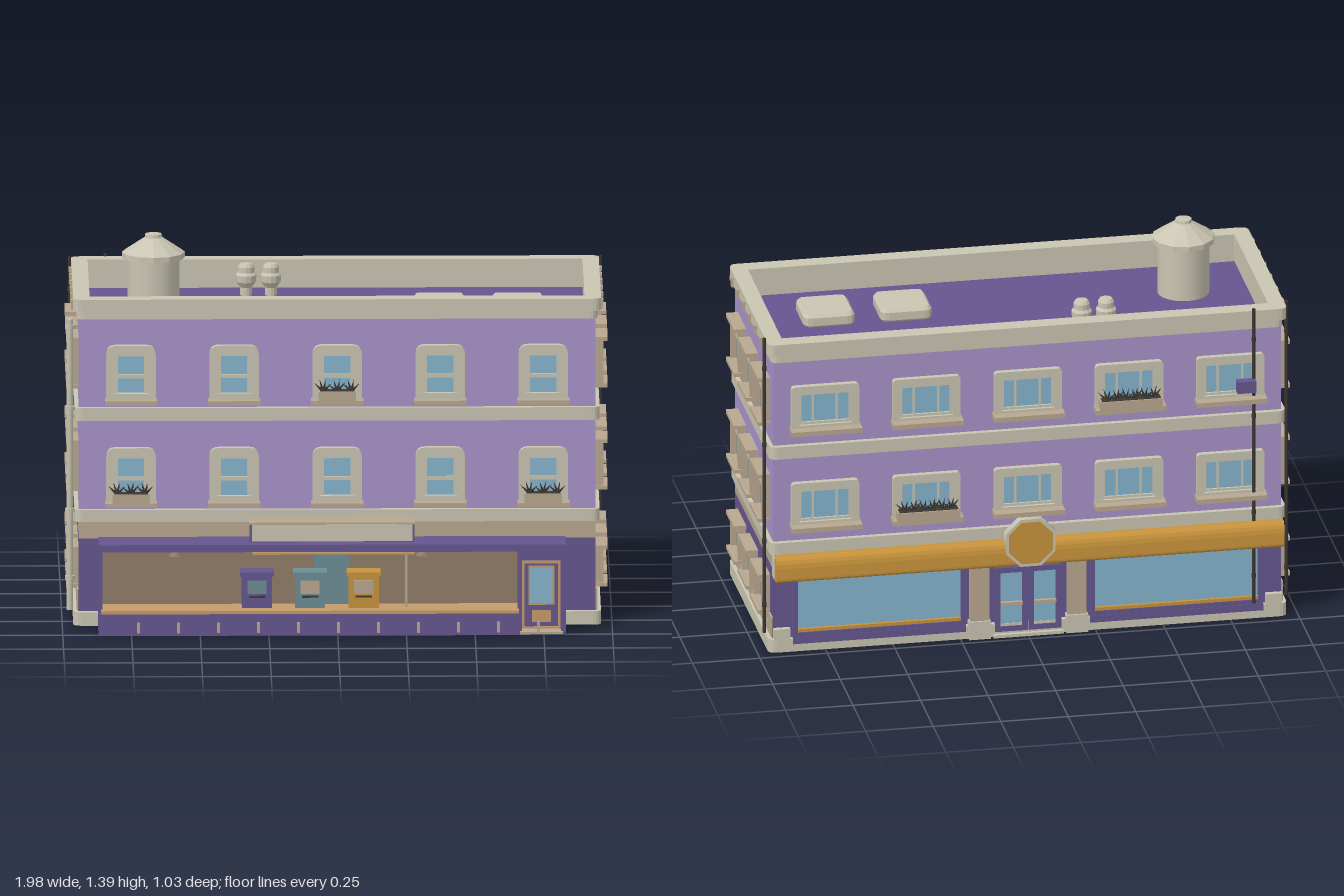
import * as THREE from 'three';

const mat = (name, color) => {
  const m = new THREE.MeshStandardMaterial({ color });
  m.name = name;
  return m;
};
const M = {
  lilac: mat('lilac wall', 0xa793c8), purple: mat('dark purple', 0x65568f),
  cream: mat('cream stone', 0xcac5b2), tan: mat('tan stone', 0xb9a78f),
  orange: mat('orange', 0xc8933c), blue: mat('blue glass', 0x86b4cc),
  teal: mat('teal glass', 0x6d8d95), dark: mat('dark metal', 0x3b3733),
  brown: mat('brown wall', 0x8f7c68), wood: mat('light wood', 0xc49c6a),
};
const CZ = -0.065, FRONT = 0.31, BACK = -0.44, SIDE = 0.94;
const COLS = [-0.75, -0.375, 0, 0.375, 0.75];

function add(parent, name, geo, material, x = 0, y = 0, z = 0) {
  const m = new THREE.Mesh(geo, material);
  m.name = name;
  m.position.set(x, y, z);
  parent.add(m);
  return m;
}
// box given by its limits on each axis
function box(p, name, m, x0, x1, y0, y1, z0, z1) {
  return add(p, name, new THREE.BoxGeometry(x1 - x0, y1 - y0, z1 - z0), m, (x0 + x1) / 2, (y0 + y1) / 2, (z0 + z1) / 2);
}
function group(p, name, x = 0, y = 0, z = 0, ry = 0) {
  const g = new THREE.Group();
  g.name = name;
  g.position.set(x, y, z);
  g.rotation.y = ry;
  p.add(g);
  return g;
}
// rectangle with bottom radius rb and top radius rt
function roundRect(S, x0, x1, y0, y1, rb, rt) {
  const s = new S();
  s.moveTo(x0 + rb, y0).lineTo(x1 - rb, y0).quadraticCurveTo(x1, y0, x1, y0 + rb)
    .lineTo(x1, y1 - rt).quadraticCurveTo(x1, y1, x1 - rt, y1)
    .lineTo(x0 + rt, y1).quadraticCurveTo(x0, y1, x0, y1 - rt)
    .lineTo(x0, y0 + rb).quadraticCurveTo(x0, y0, x0 + rb, y0);
  return s;
}
const extrude = (s, depth) => new THREE.ExtrudeGeometry(s, { depth, bevelEnabled: false, curveSegments: 4 });
// horizontal slab round the building, optionally hollow
function slab(p, name, m, hw, hd, y0, y1, hole) {
  const s = roundRect(THREE.Shape, -hw, hw, -hd, hd, 0.03, 0.03);
  if (hole) s.holes.push(roundRect(THREE.Path, -0.9, 0.9, -0.33, 0.33, 0.001, 0.001));
  add(p, name, extrude(s, y1 - y0).rotateX(-Math.PI / 2), m, 0, y0, CZ);
}
function frame(p, name, m, x0, x1, y0, y1, t, z0, z1, rt = 0.001) {
  const s = roundRect(THREE.Shape, x0, x1, y0, y1, 0.001, rt);
  s.holes.push(roundRect(THREE.Path, x0 + t, x1 - t, y0 + t, y1 - t, 0.001, rt * 0.4));
  add(p, name, extrude(s, z1 - z0), m, 0, 0, z0);
}
function planter(p, w, y, z) {
  const g = group(p, 'planter', 0, y, z);
  box(g, 'planterBox', M.tan, -w, w, 0, 0.035, -0.02, 0.025);
  box(g, 'planterSoil', M.dark, -w + 0.006, w - 0.006, 0.034, 0.037, -0.015, 0.02);
  const n = Math.round(w / 0.02);
  for (let i = 0; i < n; i++) for (const t of [-0.7, -0.2, 0.3, 0.8]) {
    const leaf = add(g, 'leaf', new THREE.ConeGeometry(0.007, 0.05, 4).translate(0, 0.022, 0), M.dark,
      -w * 0.75 + 1.5 * w * i / (n - 1), 0.032, 0.002);
    leaf.rotation.set((i % 2 ? 0.5 : -0.5) * t, 0, t);
  }
}
// front sash window, local origin at sill
function sashWindow(p, x, y, flowers) {
  const g = group(p, 'frontWindow', x, y, FRONT);
  frame(g, 'windowSurround', M.cream, -0.09, 0.09, 0.01, 0.215, 0.027, 0, 0.025, 0.035);
  frame(g, 'sashFrame', M.cream, -0.064, 0.064, 0.015, 0.19, 0.016, 0, 0.014);
  box(g, 'sashRail', M.cream, -0.05, 0.05, 0.092, 0.106, 0, 0.011);
  box(g, 'glass', M.blue, -0.055, 0.055, 0.02, 0.18, 0, 0.004);
  box(g, 'sill', M.tan, -0.095, 0.095, 0, 0.016, 0, 0.06);
  if (flowers) planter(g, 0.068, 0.016, 0.042);
}
function wideWindow(p, x, y, flowers) {
  const g = group(p, 'backWindow', x, y, BACK, Math.PI);
  frame(g, 'windowSurround', M.cream, -0.125, 0.125, 0, 0.18, 0.028, 0, 0.022, 0.015);
  frame(g, 'sashFrame', M.cream, -0.1, 0.1, 0.025, 0.155, 0.012, 0, 0.012);
  box(g, 'glass', M.blue, -0.1, 0.1, 0.025, 0.155, 0, 0.004);
  for (const mx of [-0.045, 0.045]) box(g, 'mullion', M.cream, mx - 0.004, mx + 0.004, 0.03, 0.15, 0, 0.009);
  box(g, 'sill', M.tan, -0.13, 0.13, 0, 0.018, 0, 0.06);
  if (flowers) planter(g, 0.115, 0.018, 0.045);
}
function crossWindow(p, side, z, y, h) {
  const g = group(p, 'sideWindow', side * SIDE, y, z, side * Math.PI / 2);
  frame(g, 'windowFrame', M.tan, -0.076, 0.076, 0.005, h - 0.005, 0.01, 0, 0.03);
  box(g, 'glass', M.teal, -0.07, 0.07, 0.01, h - 0.01, 0, 0.008);
  box(g, 'mullion', M.tan, -0.004, 0.004, 0.01, h - 0.01, 0, 0.018);
  box(g, 'transom', M.tan, -0.07, 0.07, h * 0.58, h * 0.58 + 0.008, 0, 0.018);
  box(g, 'header', M.tan, -0.082, 0.082, h - 0.014, h, 0, 0.045);
  box(g, 'sill', M.tan, -0.082, 0.082, 0, 0.014, 0, 0.045);
}
function pipe(p, name, m, r, x, z, y0, y1) {
  add(p, name, new THREE.CylinderGeometry(r, r, y1 - y0, 8), m, x, (y0 + y1) / 2, z);
  for (const y of [0.17, 0.42, 0.8, 1.1]) add(p, 'pipeCollar', new THREE.CylinderGeometry(r * 1.5, r * 1.5, 0.015, 8), m, x, y, z);
}

function buildShell(g) {
  slab(g, 'base', M.cream, 0.96, 0.395, 0, 0.05);
  box(g, 'groundWall', M.purple, -SIDE, SIDE, 0.05, 0.32, BACK, FRONT);
  box(g, 'groundFrieze', M.tan, -SIDE, SIDE, 0.32, 0.39, BACK, FRONT);
  box(g, 'upperWall', M.lilac, -SIDE, SIDE, 0.42, 1.1, BACK, FRONT);
  slab(g, 'lowerBand', M.cream, 0.955, 0.395, 0.385, 0.43);
  slab(g, 'middleBand', M.cream, 0.955, 0.395, 0.76, 0.808);
  box(g, 'roof', M.purple, -0.91, 0.91, 1.095, 1.105, -0.405, 0.275);
  // lilac strip closing the wall up to the parapet
  const strip = roundRect(THREE.Shape, -SIDE, SIDE, -0.375, 0.375, 0.001, 0.001);
  strip.holes.push(roundRect(THREE.Path, -0.91, 0.91, -0.34, 0.34, 0.001, 0.001));
  add(g, 'wallTop', extrude(strip, 0.05).rotateX(-Math.PI / 2), M.lilac, 0, 1.09, CZ);
  slab(g, 'parapet', M.cream, 0.948, 0.383, 1.135, 1.168, true);
  slab(g, 'parapetCap', M.cream, 0.96, 0.393, 1.165, 1.21, true);
  frame(group(g, 'parapetInside'), 'unusedDepth', M.cream, -0.001, 0.001, 1.15, 1.152, 0.0004, 0.3, 0.301);
  for (const s of [-1, 1]) {
    box(g, 'parapetLining', M.cream, s * 0.905 - 0.005, s * 0.905 + 0.005, 1.1, 1.14, -0.4, 0.27);
    box(g, 'parapetLining', M.cream, -0.9, 0.9, 1.1, 1.14, CZ + s * 0.335 - 0.005, CZ + s * 0.335 + 0.005);
  }
}
function buildSides(g) {
  for (const s of [-1, 1]) {
    const f = group(g, s > 0 ? 'leftSide' : 'rightSide');
    for (const z of [0.17, CZ, -0.3]) {
      crossWindow(f, s, z, 0.865, 0.187);
      crossWindow(f, s, z, 0.485, 0.187);
      crossWindow(f, s, z, 0.125, 0.152);
    }
    for (let i = 0; i < 6; i++) {
      const b = group(f, 'bracket', s * 0.955, 0, 0.245 - i * 0.115);
      box(b, 'bracketTop', M.tan, -0.015, 0.015, 1.18, 1.195, -0.014, 0.014);
      box(b, 'bracketBody', M.tan, -0.012, 0.012, 1.157, 1.18, -0.009, 0.009);
    }
    // two courses of bricks over a backing
    const w = group(f, 'brickwork', s * SIDE, 0, CZ, s * Math.PI / 2);
    box(w, 'mortar', M.brown, -0.374, 0.374, 0.05, 0.128, -0.01, 0.003);
    for (let row = 0; row < 2; row++) for (let i = 0; i < 6; i++) {
      const x0 = Math.max(-0.375, -0.375 + i * 0.15 - row * 0.075), x1 = Math.min(0.375, -0.225 + i * 0.15 - row * 0.075);
      if (x1 - x0 > 0.02) box(w, 'brick', M.tan, x0, x1 - 0.004, 0.053 + row * 0.04, 0.09 + row * 0.04, 0, 0.007);
    }
    pipe(f, 'drainPipe', M.dark, 0.006, s * 0.966, -0.405, 0.06, 1.22);
  }
  pipe(g, 'downspout', M.cream, 0.012, -0.972, 0.28, 0.05, 1.13);
}
function buildShopFront(g) {
  box(g, 'shopBackWall', M.brown, -0.86, 0.82, 0, 0.315, 0.372, 0.385);
  box(g, 'shopBase', M.purple, -0.87, 0.66, 0, 0.08, 0.49, 0.515);
  box(g, 'shopFloor', M.wood, -0.86, 0.66, 0.08, 0.092, 0.38, 0.515);
  for (let i = 0; i < 11; i++) box(g, 'baseDivider', M.tan, -0.725 + i * 0.1455 - 0.005, -0.72 + i * 0.1455, 0.01, 0.05, 0.51, 0.518);
  for (const [x0, x1] of [[-0.87, -0.855], [0.655, 0.67], [0.812, 0.83]]) box(g, 'shopPier', M.purple, x0, x1, 0, 0.32, 0.372, 0.482);
  box(g, 'canopy', M.purple, -0.87, 0.83, 0.31, 0.337, 0.365, 0.515);
  box(g, 'canopyTrim', M.wood, -0.855, 0.812, 0.302, 0.31, 0.46, 0.475);
  box(g, 'signBox', M.purple, -0.32, 0.28, 0.33, 0.405, 0.375, 0.468);
  box(g, 'signFace', M.cream, -0.312, 0.272, 0.341, 0.402, 0.465, 0.472);
  box(g, 'signTop', M.tan, -0.322, 0.282, 0.403, 0.411, 0.37, 0.474);
  box(g, 'hangingRail', M.wood, -0.31, 0.28, 0.287, 0.295, 0.44, 0.45);
  box(g, 'shopPost', M.tan, 0.246, 0.254, 0.09, 0.31, 0.44, 0.45);
  for (const x of [-0.59, 0.31]) add(g, 'lamp', new THREE.CylinderGeometry(0.008, 0.025, 0.02, 10), M.brown, x, 0.292, 0.44);
  box(g, 'backPanel', M.teal, -0.085, 0.045, 0.09, 0.275, 0.385, 0.393);
  // display ovens
  [[-0.293, M.purple, M.teal], [-0.1, M.teal, M.tan], [0.095, M.orange, M.tan]].forEach(([x, m, pane]) => {
    const o = group(g, 'displayOven', x, 0, 0.43);
    box(o, 'ovenBody', m, -0.055, 0.055, 0.092, 0.21, -0.04, 0.035);
    box(o, 'ovenTop', m, -0.062, 0.062, 0.21, 0.225, -0.042, 0.042);
    box(o, 'ovenWindow', pane, -0.035, 0.035, 0.145, 0.195, 0.034, 0.039);
    box(o, 'ovenHandle', M.dark, -0.03, 0.03, 0.132, 0.138, 0.034, 0.044);
  });
  // shop door
  const d = group(g, 'shopDoor', 0.742, 0, 0.42);
  box(d, 'doorLeaf', M.purple, -0.062, 0.062, 0.01, 0.25, -0.01, 0.004);
  frame(d, 'doorFrame', M.wood, -0.07, 0.07, 0.005, 0.258, 0.009, 0, 0.012);
  frame(d, 'glassTrim', M.wood, -0.047, 0.047, 0.095, 0.24, 0.006, 0.003, 0.01);
  box(d, 'doorGlass', M.blue, -0.042, 0.042, 0.1, 0.235, 0.003, 0.007);
  box(d, 'doorPanel', M.wood, -0.035, 0.035, 0.03, 0.075, 0.003, 0.007);
  box(d, 'doorHead', M.purple, -0.075, 0.075, 0.258, 0.315, -0.01, 0.006);
  box(d, 'doorStep', M.tan, -0.078, 0.078, 0, 0.008, -0.04, 0.08);
}
function buildBackShop(g) {
  const b = group(g, 'backShop', 0, 0, BACK, Math.PI);
  for (const s of [-1, 1]) {
    const w = group(b, 'displayWindow', s * 0.55);
    frame(w, 'displayFrame', M.purple, -0.32, 0.32, 0.055, 0.3, 0.018, 0, 0.022);
    box(w, 'displayGlass', M.blue, -0.305, 0.305, 0.07, 0.29, 0, 0.006);
    box(w, 'displaySill', M.orange, -0.305, 0.305, 0.07, 0.085, 0, 0.018);
    box(w, 'displayPlinth', M.purple, -0.32, 0.32, 0.03, 0.056, 0, 0.024);
    box(b, 'doorPilaster', M.tan, s * 0.18 - 0.035, s * 0.18 + 0.035, 0, 0.3, 0, 0.028);
    box(b, 'pilasterFoot', M.cream, s * 0.18 - 0.04, s * 0.18 + 0.04, 0, 0.07, 0, 0.035);
    box(b, 'cornerPilaster', M.cream, s * 0.91 - 0.03, s * 0.91 + 0.03, 0.05, 0.09, 0, 0.02);
    frame(group(b, 'doorLeaf', s * 0.062), 'doorLeafFrame', M.purple, -0.06, 0.06, 0.02, 0.27, 0.02, 0, 0.024);
    box(b, 'doorGlass', M.blue, s * 0.062 - 0.045, s * 0.062 + 0.045, 0.03, 0.26, 0, 0.022 - 0.004);
    box(b, 'doorHandle', M.tan, s * 0.062 - 0.04, s * 0.062 + 0.04, 0.125, 0.137, 0.02, 0.034);
  }
  box(b, 'doorStep', M.cream, -0.13, 0.13, 0, 0.012, 0, 0.035);
  // rounded awning with end caps
  const s = new THREE.Shape();
  s.moveTo(0, 0.29).lineTo(0.055, 0.29).quadraticCurveTo(0.066, 0.29, 0.066, 0.305)
    .lineTo(0.064, 0.345).quadraticCurveTo(0.06, 0.382, 0.035, 0.385).lineTo(0, 0.385);
  add(g, 'awning', extrude(s, 1.88).rotateY(Math.PI / 2), M.orange, -0.94, 0, BACK);
  for (const x of [-0.944, 0.94]) box(g, 'awningEnd', M.cream, x, x + 0.004, 0.297, 0.38, BACK - 0.038, BACK);
  const oct = (r, h) => new THREE.CylinderGeometry(r, r, h, 8).rotateY(Math.PI / 8).rotateX(Math.PI / 2);
  add(g, 'octagonSign', oct(0.1, 0.035), M.cream, 0, 0.383, -0.495);
  add(g, 'octagonFace', oct(0.088, 0.006), M.orange, 0, 0.383, -0.512);
  pipe(g, 'backPipe', M.dark, 0.006, -0.835, -0.462, 0.06, 1.22);
  box(g, 'meterBox', M.purple, -0.84, -0.77, 0.9, 0.945, -0.49, -0.455);
}
function buildRoofItems(g) {
  const t = group(g, 'waterTank', -0.665, 1.1, 0.02);
  const lathe = (pts, n) => new THREE.LatheGeometry(pts.map(p => new THREE.Vector2(...p)), n).toNonIndexed();
  const flat = geo => { geo.computeVertexNormals(); return geo; };
  add(t, 'tankBody', new THREE.CylinderGeometry(0.095, 0.095, 0.21, 24), M.cream, 0, 0.105, 0);
  add(t, 'tankRoof', flat(lathe([[0, 0.205], [0.115, 0.205], [0.115, 0.225], [0.032, 0.28], [0.03, 0.292], [0, 0.294]], 12)), M.cream);
  for (const x of [-0.325, -0.235]) add(g, 'roofVent', flat(lathe(
    [[0.022, 0], [0.022, 0.035], [0.036, 0.055], [0.038, 0.08], [0.03, 0.09], [0.03, 0.11], [0.022, 0.122], [0, 0.124]], 12)), M.cream, x, 1.1, -0.265);
  for (const x of [0.375, 0.66]) {
    const s = roundRect(THREE.Shape, -0.085, 0.085, -0.085, 0.085, 0.02, 0.02);
    add(g, 'roofHatch', new THREE.ExtrudeGeometry(s, { depth: 0.03, bevelSize: 0.01, bevelThickness: 0.012, bevelSegments: 1, curveSegments: 3 })
      .rotateX(-Math.PI / 2), M.cream, x, 1.112, 0.022);
  }
}

export function createModel() {
  const g = new THREE.Group();
  g.name = 'cornerShopBuilding';
  buildShell(g);
  buildSides(g);
  COLS.forEach((x, i) => {
    sashWindow(g, x, 0.825, i === 2);
    sashWindow(g, x, 0.445, i === 0 || i === 4);
    wideWindow(g, x, 0.86, i === 1);
    wideWindow(g, x, 0.48, i === 3);
  });
  buildShopFront(g);
  buildBackShop(g);
  buildRoofItems(g);
  return g;
}
